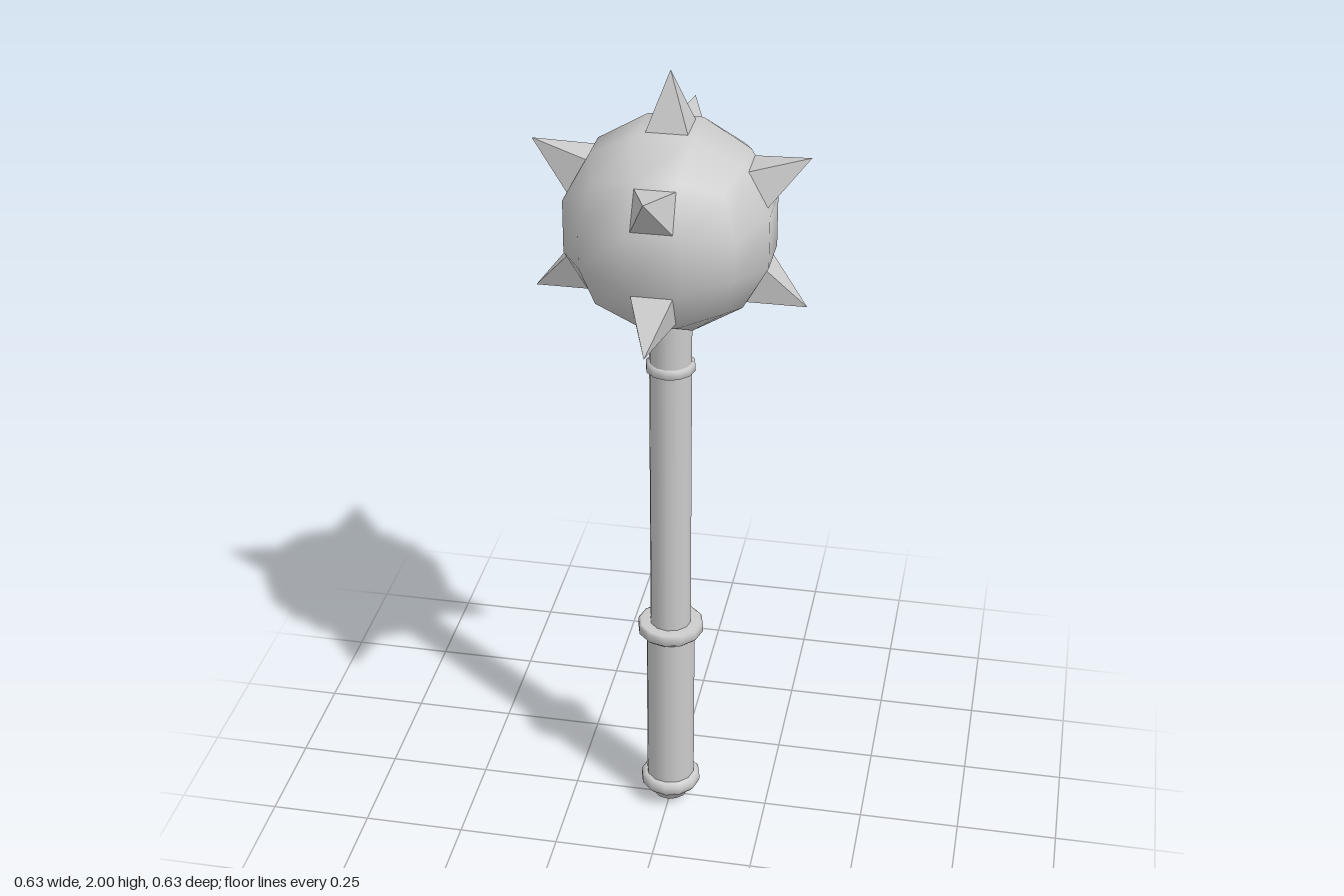
import * as THREE from 'three';
import { mergeVertices } from 'three/addons/utils/BufferGeometryUtils.js';

const HEAD_Y = 1.635;
const HEAD_R = 0.251;
const SIDES = 12;

const metal = new THREE.MeshStandardMaterial({ color: 0xcccccc });
const facetedMetal = new THREE.MeshStandardMaterial({ color: 0xcccccc, flatShading: true });

function addMesh(parent, name, geometry, material = metal) {
  const mesh = new THREE.Mesh(geometry, material);
  mesh.name = name;
  parent.add(mesh);
  return mesh;
}

// Turned part from [radius, height] pairs, listed bottom to top
function turned(profile) {
  return new THREE.LatheGeometry(profile.map(([r, y]) => new THREE.Vector2(r, y)), SIDES);
}

// Ball made from a 3x3x3 cube whose points are spread at equal angles
function cubeSphere(radius) {
  let geometry = new THREE.BoxGeometry(2, 2, 2, 3, 3, 3);
  geometry.deleteAttribute('uv');
  geometry.deleteAttribute('normal');
  geometry = mergeVertices(geometry);
  const pos = geometry.attributes.position;
  const spread = (t) => Math.tan((t * Math.PI) / 4);
  const v = new THREE.Vector3();
  for (let i = 0; i < pos.count; i++) {
    v.fromBufferAttribute(pos, i);
    v.set(spread(v.x), spread(v.y), spread(v.z)).setLength(radius);
    pos.setXYZ(i, v.x, v.y, v.z);
  }
  geometry.computeVertexNormals();
  return geometry;
}

// Square pyramid pointing up, its base sunk slightly into the ball
function spikeGeometry() {
  const tip = 0.365, base = 0.225, half = 0.051;
  const geometry = new THREE.ConeGeometry(half * Math.SQRT2, tip - base, 4);
  geometry.rotateY(Math.PI / 4);
  geometry.translate(0, (tip + base) / 2, 0);
  return geometry;
}

export function createModel() {
  const model = new THREE.Group();
  model.name = 'spikedMace';

  // Handle
  addMesh(model, 'shaft', turned([[0.051, 0.5], [0.051, 1.42]]));
  addMesh(model, 'shaftRing', turned([
    [0.05, 1.258], [0.059, 1.262], [0.059, 1.28], [0.05, 1.284],
  ]));
  addMesh(model, 'grip', turned([[0.061, 0.06], [0.061, 0.53]]));
  addMesh(model, 'gripCollar', turned([
    [0.06, 0.512], [0.07, 0.514], [0.082, 0.525], [0.082, 0.546], [0.075, 0.55], [0.045, 0.55],
  ]));
  addMesh(model, 'pommel', turned([
    [0, 0], [0.027, 0.002], [0.044, 0.013], [0.047, 0.03], [0.067, 0.042],
    [0.076, 0.053], [0.076, 0.07], [0.068, 0.08], [0.055, 0.081],
  ]));

  // Head
  const head = new THREE.Group();
  head.name = 'head';
  head.position.y = HEAD_Y;
  model.add(head);
  addMesh(head, 'ball', cubeSphere(HEAD_R));

  // One spike on top, then an upper and a lower ring of four
  const spike = spikeGeometry();
  addMesh(head, 'topSpike', spike, facetedMetal);
  for (const [name, tilt] of [['upperSpike', Math.PI / 3], ['lowerSpike', (2 * Math.PI) / 3]]) {
    for (let i = 0; i < 4; i++) {
      const mesh = addMesh(head, name, spike, facetedMetal);
      mesh.rotation.set(tilt, (i * Math.PI) / 2, 0, 'YXZ');
    }
  }
  return model;
}
